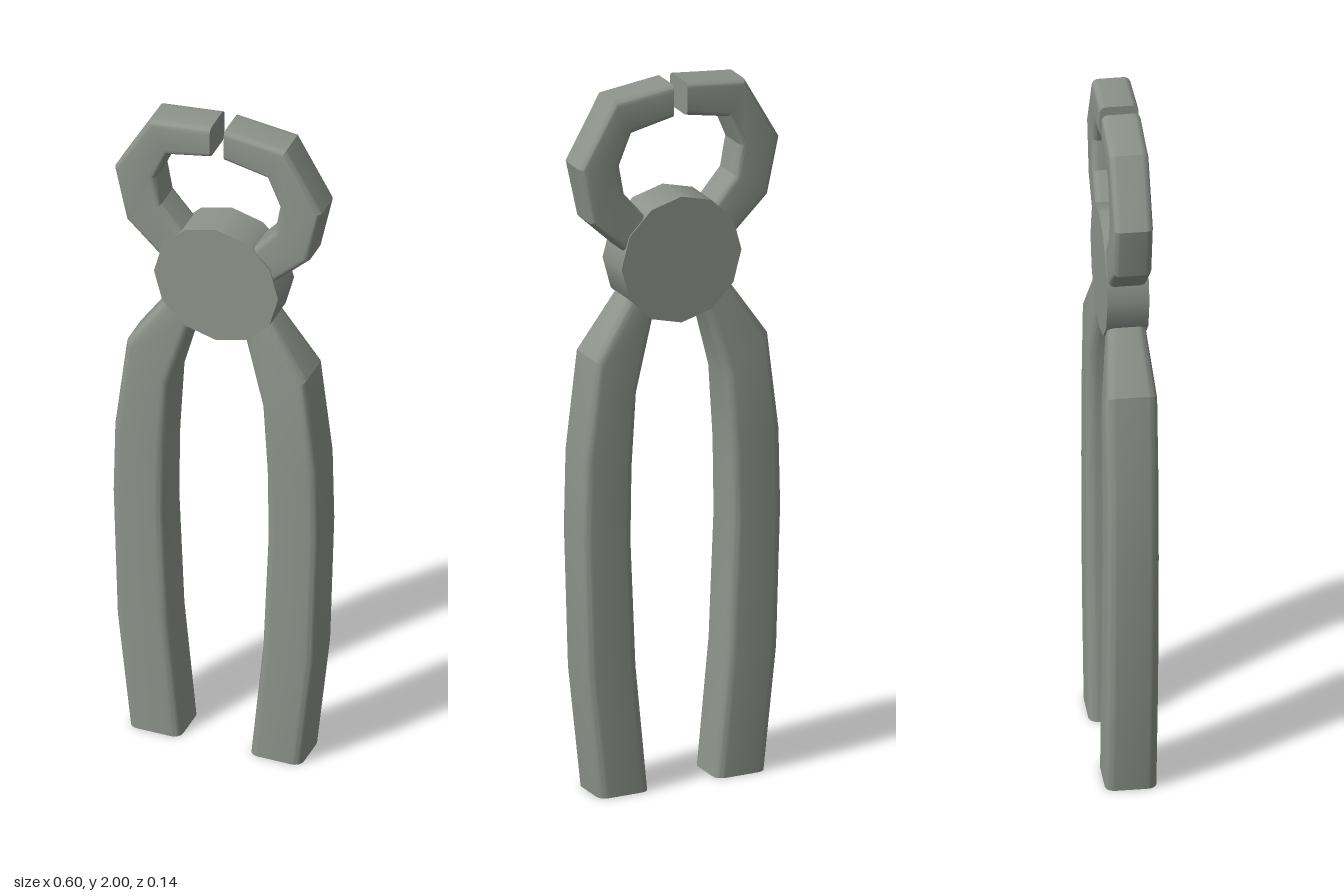
import * as THREE from 'three';
import { toCreasedNormals } from 'three/addons/utils/BufferGeometryUtils.js';

const CORNER_STEPS = 5;

// Rounded-rectangle bar swept through stations [outerX, outerY, innerX, innerY, halfDepth]
function bar(stations, radius) {
  const pos = [], index = [];
  const n = 4 * (CORNER_STEPS + 1);
  for (const [ox, oy, ix, iy, depth] of stations) {
    const mx = (ox + ix) / 2, my = (oy + iy) / 2;
    const half = Math.hypot(ox - ix, oy - iy) / 2;
    const ux = (ox - mx) / half, uy = (oy - my) / half;
    for (let c = 0; c < 4; c++) {
      const su = c === 0 || c === 3 ? 1 : -1, sz = c < 2 ? 1 : -1;
      for (let j = 0; j <= CORNER_STEPS; j++) {
        const a = (c + j / CORNER_STEPS) * Math.PI / 2;
        const u = su * (half - radius) + radius * Math.cos(a);
        const z = sz * (depth - radius) + radius * Math.sin(a);
        pos.push(mx + ux * u, my + uy * u, z);
      }
    }
  }
  const last = stations.length - 1;
  for (let k = 0; k < last; k++) {
    for (let i = 0; i < n; i++) {
      const j = (i + 1) % n;
      const a = k * n + i, b = k * n + j, c = a + n, d = b + n;
      index.push(a, c, b, b, c, d);
    }
  }
  // End caps
  for (let i = 1; i < n - 1; i++) {
    index.push(0, i, i + 1);
    index.push(last * n, last * n + i + 1, last * n + i);
  }
  const g = new THREE.BufferGeometry();
  g.setAttribute('position', new THREE.Float32BufferAttribute(pos, 3));
  g.setIndex(index);
  return toCreasedNormals(g, 0.42);
}

export function createModel() {
  const model = new THREE.Group();
  model.name = 'pincers';
  const steel = new THREE.MeshStandardMaterial({ color: 0x8d938b });
  steel.name = 'grey steel';

  // Bowed grip, foot to pivot
  const handleGeo = bar([
    [0.25, 0, 0.10, 0, 0.07],
    [0.288, 0.35, 0.135, 0.36, 0.07],
    [0.30, 0.75, 0.15, 0.72, 0.07],
    [0.295, 0.97, 0.147, 0.93, 0.07],
    [0.26, 1.25, 0.135, 1.14, 0.07],
    [0.152, 1.41, 0.078, 1.335, 0.052],
    [0.08, 1.50, 0.01, 1.44, 0.045],
  ], 0.026);

  // Faceted hooked jaw, pivot to tip
  const jawGeo = bar([
    [0.08, 1.46, 0.02, 1.55, 0.05],
    [0.17, 1.55, 0.105, 1.64, 0.053],
    [0.265, 1.64, 0.165, 1.71, 0.053],
    [0.30, 1.80, 0.18, 1.795, 0.053],
    [0.197, 1.98, 0.145, 1.88, 0.053],
    [0.02, 2.0, 0.02, 1.905, 0.053],
  ], 0.018);

  // The halves are symmetric in z, so a half turn gives the mirrored side
  for (const side of ['left', 'right']) {
    const half = new THREE.Group();
    half.name = side + 'Half';
    const handle = new THREE.Mesh(handleGeo, steel);
    handle.name = side + 'Handle';
    const jaw = new THREE.Mesh(jawGeo, steel);
    jaw.name = side + 'Jaw';
    half.add(handle, jaw);
    if (side === 'right') half.rotation.y = Math.PI;
    model.add(half);
  }

  // Twelve-sided pivot disc
  const pivot = new THREE.Mesh(
    new THREE.CylinderGeometry(0.18, 0.18, 0.114, 12).rotateX(Math.PI / 2), steel);
  pivot.name = 'pivotDisc';
  pivot.position.y = 1.5;
  model.add(pivot);

  return model;
}
